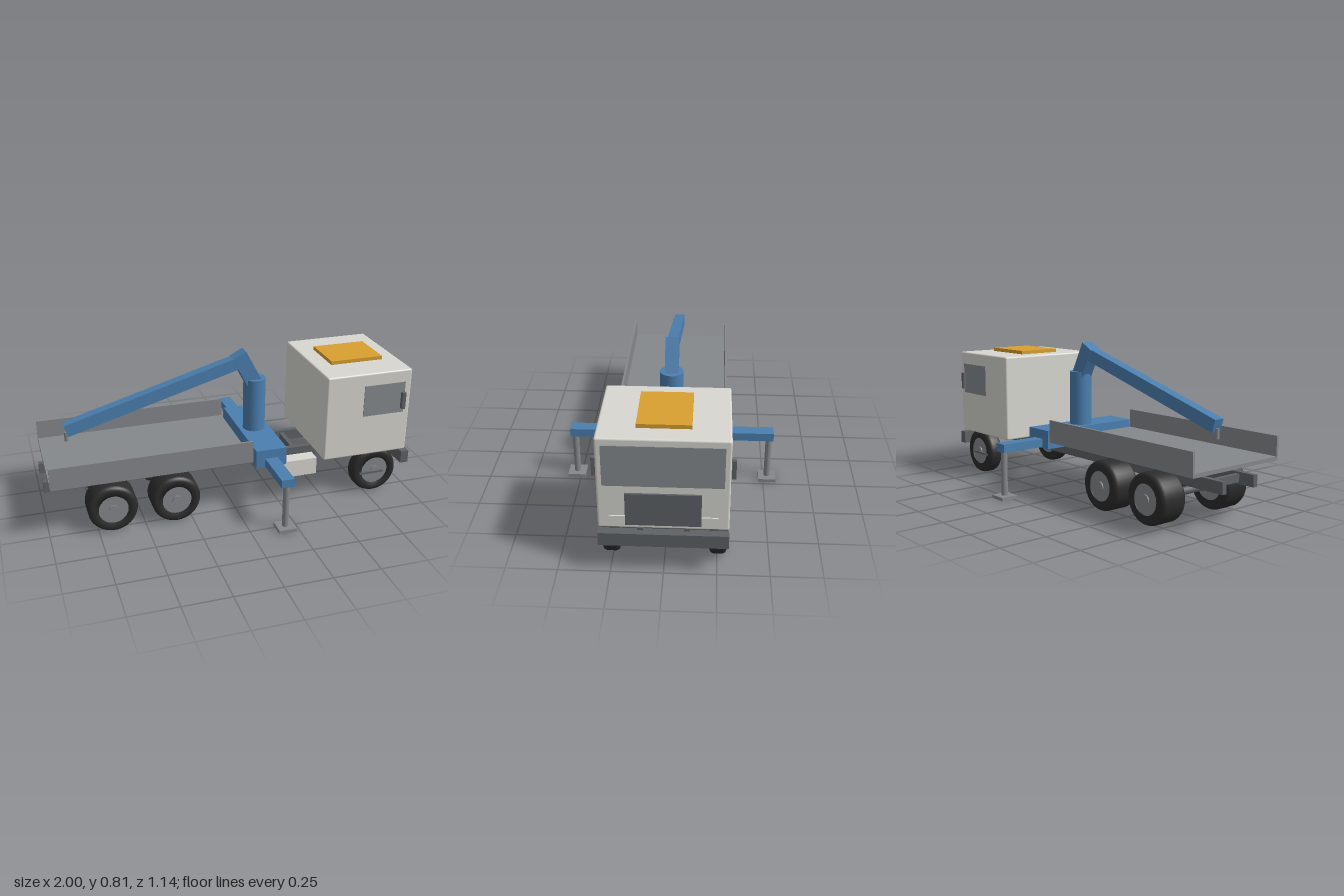
import * as THREE from 'three';
import { RoundedBoxGeometry } from 'three/addons/geometries/RoundedBoxGeometry.js';

const mat = (name, color) => {
  const m = new THREE.MeshStandardMaterial({ color });
  m.name = name;
  return m;
};

export function createModel() {
  const cabPaint = mat('cabPaint', 0xd8d7d1);
  const glass = mat('glass', 0x878c90);
  const chassis = mat('chassisGrey', 0x5f6366);
  const steel = mat('steelGrey', 0x85888b);
  const rubber = mat('rubber', 0x2c2c2c);
  const blue = mat('craneBlue', 0x4b80b0);
  const amber = mat('amber', 0xd9a030);

  const truck = new THREE.Group();
  truck.name = 'craneTruck';

  const add = (name, geo, material, parent = truck) => {
    const m = new THREE.Mesh(geo, material);
    m.name = name;
    parent.add(m);
    return m;
  };
  // Box given by its limits on each axis
  const box = (name, material, x0, x1, y0, y1, z0, z1, radius = 0) => {
    const s = [x1 - x0, y1 - y0, z1 - z0];
    const geo = radius ? new RoundedBoxGeometry(...s, 3, radius) : new THREE.BoxGeometry(...s);
    const m = add(name, geo, material);
    m.position.set((x0 + x1) / 2, (y0 + y1) / 2, (z0 + z1) / 2);
    return m;
  };
  // The same box on both sides of the truck
  const pair = (name, material, x0, x1, y0, y1, z0, z1) => {
    box(name, material, x0, x1, y0, y1, z0, z1);
    box(name, material, x0, x1, y0, y1, -z1, -z0);
  };
  // Box beam between two points in the xy plane
  const beam = (name, x0, y0, x1, y1, thick, width) => {
    const m = add(name, new THREE.BoxGeometry(Math.hypot(x1 - x0, y1 - y0), thick, width), blue);
    m.position.set((x0 + x1) / 2, (y0 + y1) / 2, 0);
    m.rotation.z = Math.atan2(y1 - y0, x1 - x0);
  };

  // Chassis
  pair('frameRail', chassis, -1, 0.97, 0.19, 0.25, 0.095, 0.122);
  for (const x of [-0.9, -0.5, -0.1, 0.39, 0.66, 0.9])
    box('crossMember', chassis, x - 0.012, x + 0.012, 0.2, 0.24, -0.1, 0.1);
  box('bumper', chassis, 0.955, 1, 0.155, 0.225, -0.302, 0.302);
  box('toolBox', cabPaint, 0.265, 0.455, 0.155, 0.25, 0.2, 0.275);

  // Cab
  box('cab', cabPaint, 0.485, 0.975, 0.24, 0.72, -0.302, 0.302, 0.01);
  box('roofHatch', amber, 0.58, 0.88, 0.718, 0.74, -0.125, 0.125);
  box('windshield', glass, 0.972, 0.979, 0.475, 0.685, -0.275, 0.275);
  box('grille', chassis, 0.972, 0.985, 0.265, 0.437, -0.174, 0.174);
  pair('headlight', cabPaint, 0.972, 0.982, 0.277, 0.312, 0.174, 0.25);
  pair('sideWindow', glass, 0.7, 0.938, 0.475, 0.65, 0.299, 0.305);
  pair('mirror', chassis, 0.917, 0.938, 0.5, 0.595, 0.305, 0.325);
  pair('step', chassis, 0.71, 0.85, 0.116, 0.126, 0.27, 0.303);

  // Cargo bed
  box('bedFloor', steel, -0.98, 0.083, 0.29, 0.31, -0.295, 0.295);
  pair('bedSide', steel, -0.98, 0.083, 0.31, 0.412, 0.285, 0.297);

  // Wheels: tyre and rim turned about the axle
  const wheel = (x, side, inner, outer) => {
    const g = new THREE.Group();
    g.name = 'wheel';
    const w = outer - inner, h = w / 2, R = 0.13, c = 0.02;
    const profile = [[0.078, -h], [R - c, -h], [R - 0.006, -h + 0.006], [R, -h + c],
      [R, h - c], [R - 0.006, h - 0.006], [R - c, h], [0.078, h], [0.078, -h]];
    add('tyre', new THREE.LatheGeometry(profile.map(p => new THREE.Vector2(...p)), 40), rubber, g);
    add('rim', new THREE.CylinderGeometry(0.08, 0.08, w - 0.008, 32), steel, g);
    add('hubCap', new THREE.CylinderGeometry(0.025, 0.025, w + 0.006, 20), steel, g);
    g.rotation.x = Math.PI / 2;
    g.position.set(x, R, side * (inner + outer) / 2);
    truck.add(g);
  };
  for (const [x, inner] of [[-0.67, 0.145], [-0.335, 0.145], [0.8, 0.213]]) {
    for (const side of [1, -1]) wheel(x, side, inner, 0.295);
    const axle = add('axle', new THREE.CylinderGeometry(0.02, 0.02, 0.46, 16), chassis);
    axle.rotation.x = Math.PI / 2;
    axle.position.set(x, 0.13, 0);
  }

  // Crane base with outriggers
  box('craneBase', blue, 0.1, 0.27, 0.25, 0.35, -0.295, 0.295);
  pair('outriggerArm', blue, 0.15, 0.22, 0.255, 0.3, 0.28, 0.545);
  pair('outriggerPad', steel, 0.137, 0.233, 0, 0.018, 0.475, 0.57);
  for (const side of [1, -1]) {
    const leg = add('outriggerLeg', new THREE.CylinderGeometry(0.017, 0.017, 0.245, 20), steel);
    leg.position.set(0.185, 0.1375, side * 0.522);
  }

  // Crane column, knuckle, boom and hook
  add('craneColumn', new THREE.CylinderGeometry(0.061, 0.061, 0.3, 32), blue).position.set(0.185, 0.497, 0);
  beam('knuckleArm', 0.18, 0.62, 0.088, 0.793, 0.083, 0.07);
  beam('mainBoom', -0.853, 0.477, 0.095, 0.752, 0.067, 0.058);
  const hook = add('hook', new THREE.CylinderGeometry(0.011, 0.011, 0.05, 16), steel);
  hook.position.set(-0.85, 0.438, 0);

  return truck;
}
